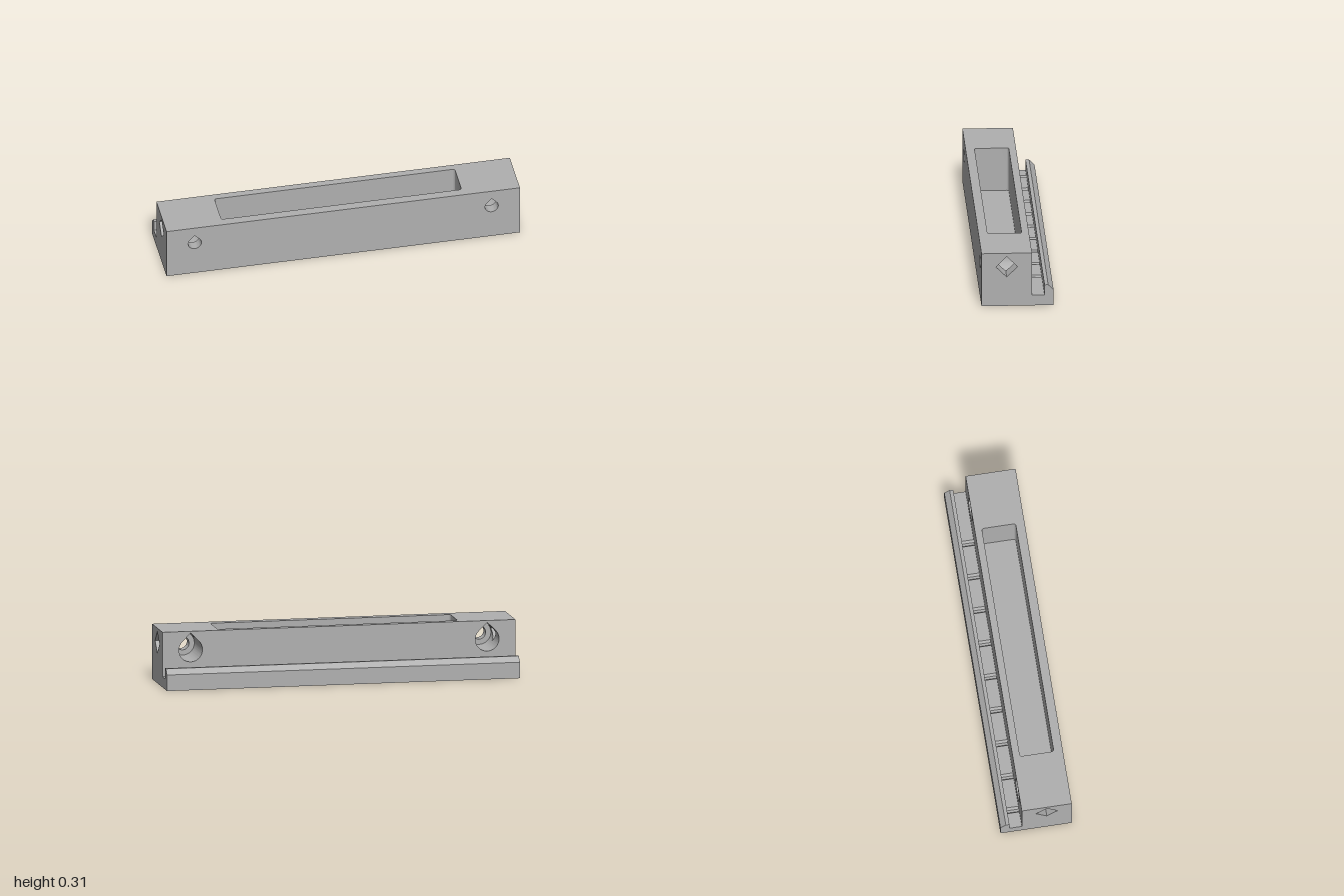
import * as THREE from 'three';
import { toCreasedNormals } from 'three/addons/utils/BufferGeometryUtils.js';

const FRONT = 0.2, WALL = -0.08, LIP = -0.15, BACK = -0.2; // z planes
const TOP = 0.31, FLOOR = 0.06; // heights
const BORE = { x: 0.84, y: 0.205, r: 0.067, small: 0.0375, end: 0.14 };
const DIAMOND = { z: 0.06, y: 0.23, h: 0.06 };

export function createModel() {
  const group = new THREE.Group();
  const grey = new THREE.MeshStandardMaterial({ color: 0xb0b0b0, side: THREE.DoubleSide });
  grey.name = 'grey plastic';

  const add = (name, geometry) => {
    const mesh = new THREE.Mesh(toCreasedNormals(geometry, 0.5), grey);
    mesh.name = name;
    group.add(mesh);
  };
  // Faces from four-cornered patches
  const addQuads = (name, quads) => {
    const pos = quads.flatMap(([a, b, c, d]) => [...a, ...b, ...c, ...a, ...c, ...d]);
    const geometry = new THREE.BufferGeometry();
    geometry.setAttribute('position', new THREE.Float32BufferAttribute(pos, 3));
    add(name, geometry);
  };
  // Ruled surface between two placements of one 2D path
  const addStrip = (name, path, placeA, placeB) => {
    const quads = path.slice(1).map((q, i) => {
      const p = path[i];
      return [placeA(...p), placeA(...q), placeB(...q), placeB(...p)];
    });
    addQuads(name, quads);
  };
  // Flat panel with holes, placed by a mapping from 2D to 3D
  const addPanel = (name, outline, holes, place) => {
    const vec = (pts) => pts.map(([u, v]) => new THREE.Vector2(u, v));
    const shape = new THREE.Shape(vec(outline));
    shape.holes = holes.map((h) => new THREE.Path(vec(h)));
    const geometry = new THREE.ShapeGeometry(shape).toNonIndexed();
    const p = geometry.attributes.position;
    for (let i = 0; i < p.count; i++) p.setXYZ(i, ...place(p.getX(i), p.getY(i)));
    add(name, geometry);
  };
  const atX = (x) => (z, y) => [x, y, z];
  const atY = (y) => (x, z) => [x, y, z];
  const atZ = (z) => (x, y) => [x, y, z];
  const rect = (u0, v0, u1, v1) => [[u0, v0], [u1, v0], [u1, v1], [u0, v1]];
  const closed = (pts) => [...pts, pts[0]];

  // Round hole with a 45 degree pointed roof
  const teardrop = (cx, r) => {
    const pts = [[cx, BORE.y + r * Math.SQRT2]];
    for (let i = 0; i <= 40; i++) {
      const a = Math.PI * (0.75 + (1.5 * i) / 40);
      pts.push([cx + r * Math.cos(a), BORE.y + r * Math.sin(a)]);
    }
    return pts;
  };
  const sides = [-1, 1];
  const smallHoles = sides.map((s) => teardrop(s * BORE.x, BORE.small));
  const bigHoles = sides.map((s) => teardrop(s * BORE.x, BORE.r));

  // Channel floor with evenly spaced notches
  const floor = [[-1, FLOOR]];
  for (let i = 0; i < 9; i++) {
    const x = -0.9 + i * 0.2 + (4 - i) * 0.001;
    floor.push([x - 0.017, FLOOR], [x - 0.007, FLOOR - 0.02],
      [x + 0.007, FLOOR - 0.02], [x + 0.017, FLOOR]);
  }
  floor.push([1, FLOOR]);
  addStrip('channelFloor', floor, atZ(WALL), atZ(LIP));
  addPanel('lipInnerWall', [...floor, [1, 0.12], [-1, 0.12]], [], atZ(LIP));

  // Block faces
  addPanel('backWall', [...floor, [1, TOP], [-1, TOP]], bigHoles, atZ(WALL));
  addPanel('frontFace', rect(-1, 0, 1, TOP), smallHoles, atZ(FRONT));
  addPanel('underside', rect(-1, BACK, 1, FRONT), [], atY(0));
  for (const [name, path] of [
    ['lipTop', [[LIP, 0.12], [-0.17, 0.12]]],
    ['lipChamfer', [[-0.17, 0.12], [BACK, 0.09]]],
    ['lipBack', [[BACK, 0.09], [BACK, 0]]],
  ]) addStrip(name, path, atX(-1), atX(1));

  // End faces with diamond openings
  const { z: dz, y: dy, h } = DIAMOND;
  const diamond = [[dz, dy - h], [dz + h, dy], [dz, dy + h], [dz - h, dy]];
  const profile = [[FRONT, 0], [FRONT, TOP], [WALL, TOP], [WALL, FLOOR], [LIP, FLOOR],
    [LIP, 0.12], [-0.17, 0.12], [BACK, 0.09], [BACK, 0]];
  for (const s of sides) addPanel(s > 0 ? 'leftEnd' : 'rightEnd', profile, [diamond], atX(s));

  // Long pocket in the top
  const pocket = [];
  const pr = 0.012;
  [[0.68, 0.15], [-0.68, 0.15], [-0.68, -0.04], [0.68, -0.04]].forEach(([x, z], k) => {
    const cx = x - Math.sign(x) * pr, cz = z > 0 ? z - pr : z + pr;
    for (let i = 0; i <= 4; i++) {
      const a = (k + i / 4) * Math.PI / 2;
      pocket.push([cx + pr * Math.cos(a), cz + pr * Math.sin(a)]);
    }
  });
  addPanel('topFace', rect(-1, WALL, 1, FRONT), [pocket], atY(TOP));
  addStrip('pocketWalls', closed(pocket), atY(TOP), atY(FLOOR));
  addPanel('pocketFloor', pocket, [], atY(FLOOR));

  // Wide bores from the back, met by the diamond tunnels from the ends
  const roofStart = BORE.y + BORE.r * Math.SQRT1_2;
  const halfWidth = (y) => {
    const t = y - BORE.y;
    return y > roofStart ? Math.max(0, BORE.r * Math.SQRT2 - t)
      : Math.sqrt(Math.max(0, BORE.r ** 2 - t * t));
  };
  const levels = [dy - h, dy, dy + h, BORE.y + BORE.r * Math.SQRT2];
  for (let i = 0; i <= 30; i++) {
    levels.push(BORE.y + BORE.r * Math.sin(Math.PI * (-0.5 + (0.75 * i) / 30)));
  }
  levels.sort((a, b) => a - b);
  const gap = (y) => Math.max(0, h - Math.abs(y - dy));
  const tunnelEnd = BORE.x - BORE.r * Math.SQRT1_2;

  sides.forEach((s, k) => {
    const bore = [], tunnel = [];
    for (const dir of sides) {
      const wallX = (y) => s * (BORE.x + dir * halfWidth(y));
      const endX = s * (dir > 0 ? 1 : tunnelEnd);
      const lowest = dir > 0 ? dy - h : roofStart;
      levels.slice(1).forEach((y1, i) => {
        const y0 = levels[i], mid = (y0 + y1) / 2;
        if (y1 - y0 < 1e-6) return;
        const patch = (a0, b0, a1, b1) => bore.push([
          [wallX(y0), y0, a0], [wallX(y0), y0, b0], [wallX(y1), y1, b1], [wallX(y1), y1, a1]]);
        if (mid < lowest || mid > dy + h) {
          patch(WALL, BORE.end, WALL, BORE.end);
          return;
        }
        const g0 = gap(y0), g1 = gap(y1);
        patch(WALL, dz - g0, WALL, dz - g1);
        patch(dz + g0, BORE.end, dz + g1, BORE.end);
        for (const e of sides) {
          tunnel.push([[wallX(y0), y0, dz + e * g0], [endX, y0, dz + e * g0],
            [endX, y1, dz + e * g1], [wallX(y1), y1, dz + e * g1]]);
        }
        if (dir < 0) {
          tunnel.push([[endX, y0, dz - g0], [endX, y0, dz + g0],
            [endX, y1, dz + g1], [endX, y1, dz - g1]]);
        }
      });
    }
    addQuads('wideBore', bore);
    addQuads('diamondTunnel', tunnel);
    addPanel('boreShoulder', bigHoles[k], [smallHoles[k]], atZ(BORE.end));
    addStrip('screwHole', closed(smallHoles[k]), atZ(BORE.end), atZ(FRONT));
  });
  return group;
}
